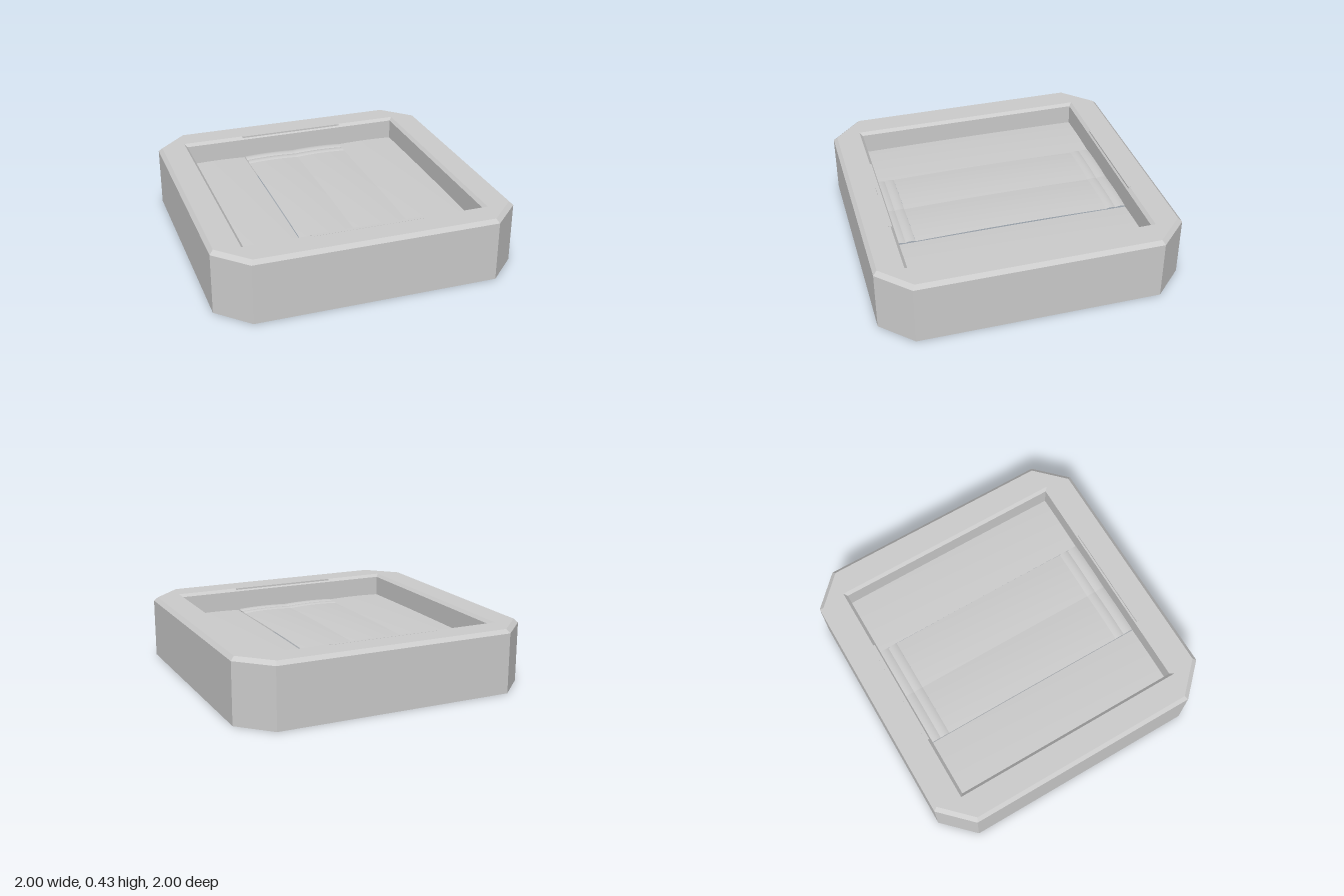
import * as THREE from 'three';

const material = new THREE.MeshStandardMaterial({ color: 0xcccccc, side: THREE.DoubleSide });

// Square of half-size r with its corners cut off by c
function octagon(r, c) {
  const k = r - c;
  return [[k, r], [r, k], [r, -k], [k, -r], [-k, -r], [-r, -k], [-r, k], [-k, r]];
}

// Square of half-size r
const square = (r) => [[r, r], [r, -r], [-r, -r], [-r, r]];

// Hard-edged band through rings of [x, z] points at given heights
function band(rings) {
  const pos = [];
  for (let i = 0; i + 1 < rings.length; i++) {
    const lo = rings[i], hi = rings[i + 1], n = lo.pts.length;
    for (let j = 0; j < n; j++) {
      const k = (j + 1) % n;
      const a = [lo.pts[j][0], lo.y, lo.pts[j][1]];
      const b = [lo.pts[k][0], lo.y, lo.pts[k][1]];
      const c = [hi.pts[k][0], hi.y, hi.pts[k][1]];
      const d = [hi.pts[j][0], hi.y, hi.pts[j][1]];
      pos.push(...a, ...c, ...b, ...a, ...d, ...c);
    }
  }
  // Rings run clockwise seen from +y, so reverse to face outward
  const g = new THREE.BufferGeometry();
  for (let i = 0; i < pos.length; i += 9) {
    for (let m = 0; m < 3; m++) {
      [pos[i + 3 + m], pos[i + 6 + m]] = [pos[i + 6 + m], pos[i + 3 + m]];
    }
  }
  g.setAttribute('position', new THREE.Float32BufferAttribute(pos, 3));
  g.computeVertexNormals();
  return g;
}

// Softly crowned panel between x0..x1 and z0..z1
function panel(x0, x1, z0, z1, y, crown) {
  const w = x1 - x0, d = z1 - z0;
  const g = new THREE.PlaneGeometry(w, d, 12, 16).rotateX(-Math.PI / 2);
  const p = g.attributes.position;
  for (let i = 0; i < p.count; i++) {
    const u = (2 * p.getX(i)) / w, v = (2 * p.getZ(i)) / d;
    p.setY(i, crown * (1 - u * u * 0.5 - v * v * 0.5));
  }
  g.translate((x0 + x1) / 2, y, (z0 + z1) / 2);
  g.computeVertexNormals();
  return g;
}

export function createModel() {
  const group = new THREE.Group();
  const add = (name, geometry) => {
    const mesh = new THREE.Mesh(geometry, material);
    mesh.name = name;
    group.add(mesh);
    return mesh;
  };

  // Outer wall, open below, with a small bevel on top
  add('outerWall', band([
    { y: 0, pts: octagon(1, 0.2) },
    { y: 0.4, pts: octagon(1, 0.2) },
    { y: 0.425, pts: octagon(0.975, 0.19) },
  ]));

  // Flat rim with a square opening
  const rim = new THREE.Shape(octagon(0.975, 0.19).map(([x, z]) => new THREE.Vector2(x, z)));
  rim.holes.push(new THREE.Path(square(0.81).map(([x, z]) => new THREE.Vector2(x, z))));
  add('rim', new THREE.ShapeGeometry(rim).rotateX(-Math.PI / 2).translate(0, 0.425, 0));

  // Bevelled inner wall down to the floor
  add('innerWall', band([
    { y: 0.425, pts: square(0.81) },
    { y: 0.405, pts: square(0.79) },
    { y: 0.265, pts: square(0.79) },
  ]));

  for (const s of [-1, 1]) {
    // Side floor panels
    const x = s * 0.58;
    add('sideFloor', panel(x - 0.21, x + 0.21, -0.79, 0.79, 0.265, 0.01));

    // Paired centre panels, with two narrow slats at each end
    const c = s * 0.1835;
    add('centrePanel', panel(c - 0.1835, c + 0.1835, -0.655, 0.655, 0.27, 0.015));
    for (const e of [-1, 1]) {
      add('innerSlat', panel(c - 0.1835, c + 0.1835, e * 0.6875 - 0.0325, e * 0.6875 + 0.0325, 0.27, 0.012));
      add('outerSlat', panel(c - 0.1835, c + 0.1835, e * 0.755 - 0.035, e * 0.755 + 0.035, 0.27, 0.012));
    }

    // Finger ledge set into the rim edge
    const ledge = new THREE.BoxGeometry(0.75, 0.018, 0.025);
    add('rimLedge', ledge.translate(0, 0.417, s * 0.8125));
  }
  return group;
}
